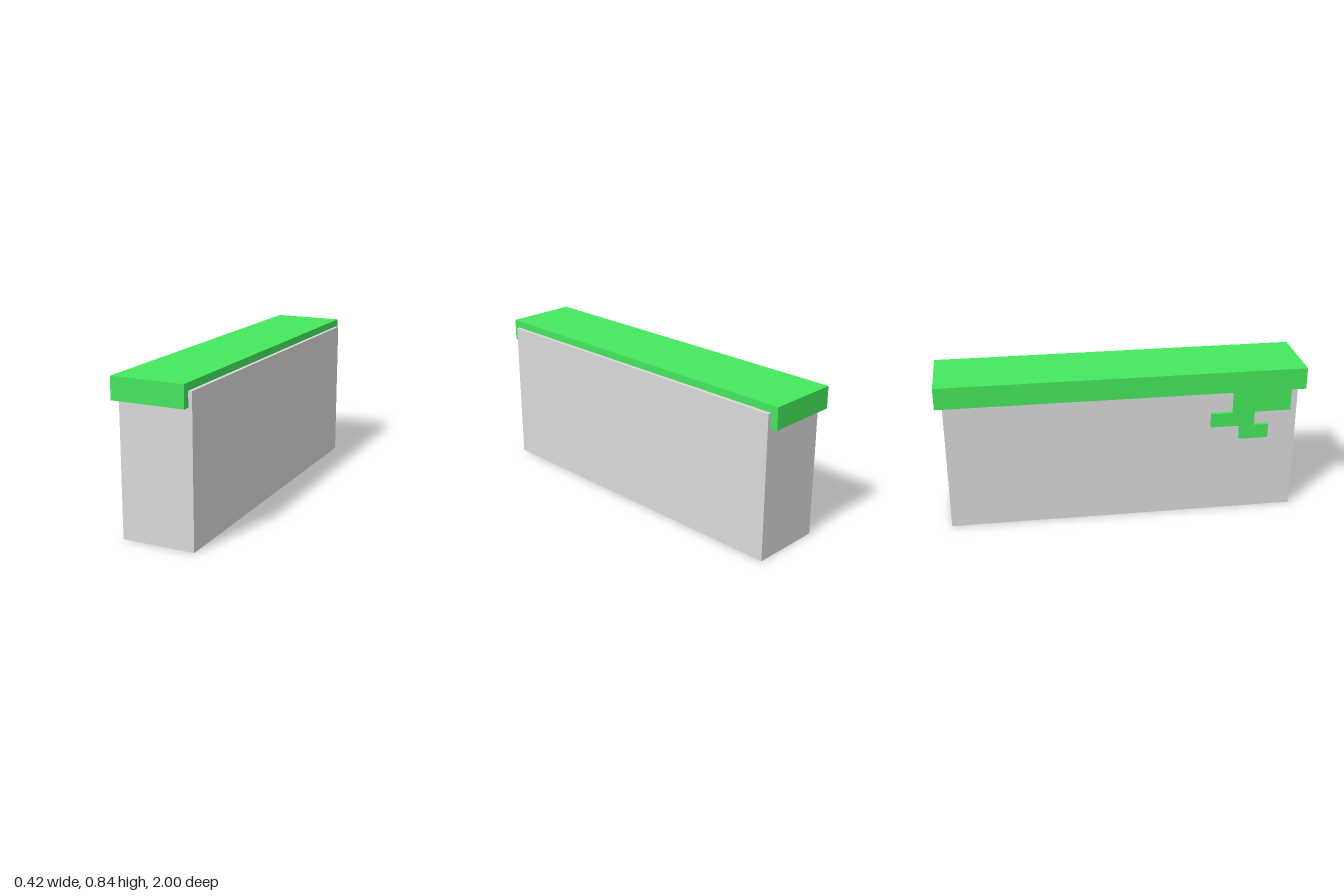
import * as THREE from 'three';

const gray = new THREE.MeshStandardMaterial({ color: 0xd9d9d9 });
gray.name = 'stone gray';
const green = new THREE.MeshStandardMaterial({ color: 0x46e85e });
green.name = 'grass green';

// Box given by its minimum and maximum corners
function box(name, material, min, max) {
  const size = max.map((v, i) => v - min[i]);
  const mesh = new THREE.Mesh(new THREE.BoxGeometry(...size), material);
  mesh.name = name;
  mesh.position.set(...max.map((v, i) => (v + min[i]) / 2));
  return mesh;
}

export function createModel() {
  const model = new THREE.Group();
  model.name = 'grassToppedWall';

  // Wall block
  model.add(box('wallBlock', gray, [-0.19, 0, -0.96], [0.21, 0.8, 0.96]));

  // Grass layer on top, with a short overhang at each end
  model.add(box('grassTop', green, [-0.19, 0.8, -1], [0.19, 0.84, 1]));
  model.add(box('frontOverhang', green, [-0.19, 0.72, 0.96], [0.19, 0.8, 1]));
  model.add(box('backOverhang', green, [-0.19, 0.72, -1], [0.19, 0.8, -0.96]));

  // Side sheet of grass with a stepped hanging vine, outlined as (z, y)
  const outline = [
    [-1, 0.72], [0.6, 0.72], [0.6, 0.6], [0.48, 0.6], [0.48, 0.52], [0.64, 0.52],
    [0.64, 0.44], [0.8, 0.44], [0.8, 0.52], [0.72, 0.52], [0.72, 0.6], [0.92, 0.6],
    [0.92, 0.72], [1, 0.72], [1, 0.84], [-1, 0.84],
  ].map(([z, y]) => new THREE.Vector2(z, y));
  const sheet = new THREE.ExtrudeGeometry(new THREE.Shape(outline), { depth: 0.02, bevelEnabled: false });
  sheet.rotateY(-Math.PI / 2);
  const side = new THREE.Mesh(sheet, green);
  side.name = 'hangingGrass';
  side.position.x = -0.19;
  model.add(side);

  return model;
}
